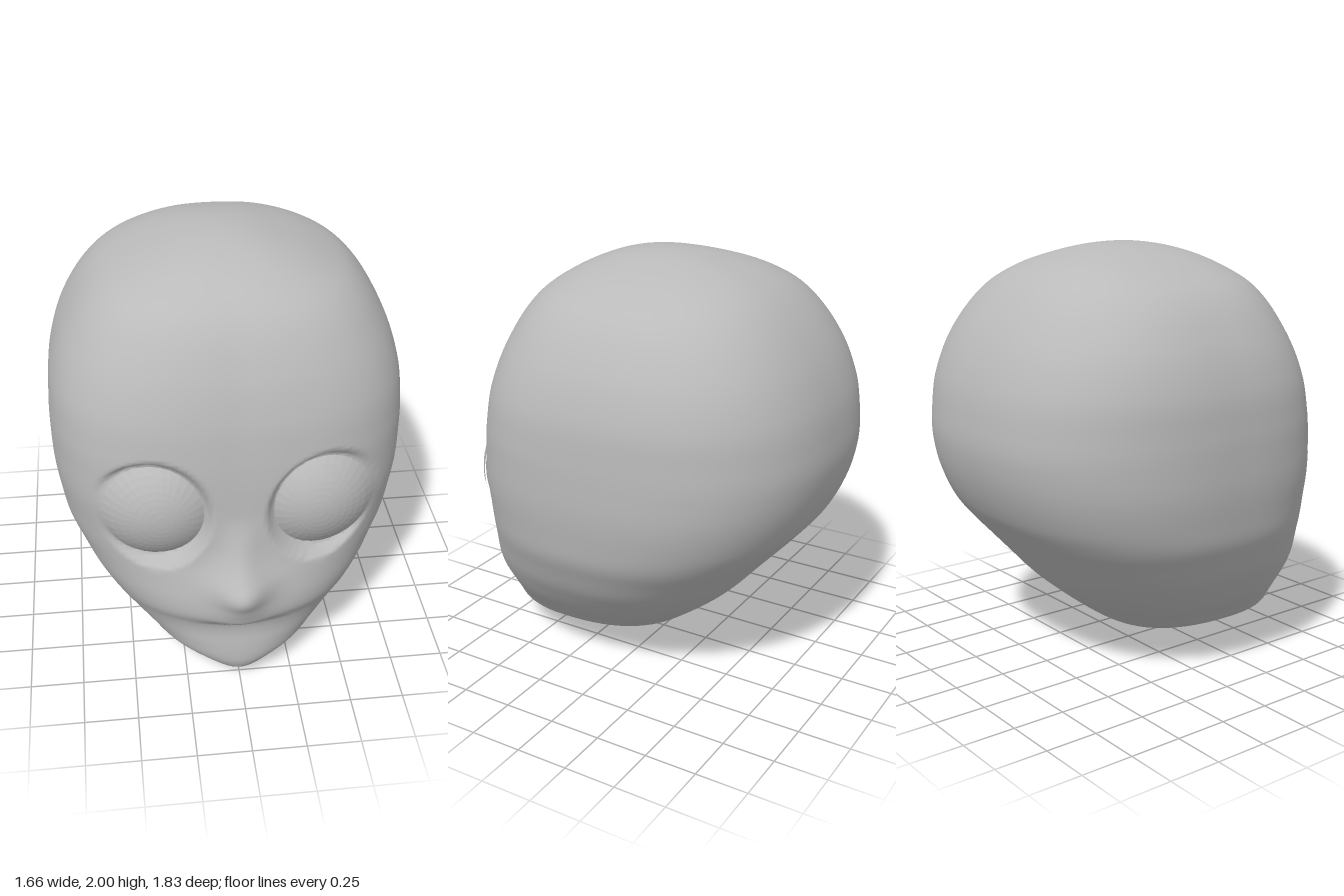
import * as THREE from 'three';

const material = new THREE.MeshStandardMaterial({ color: 0xbababa });
material.name = 'plain grey';

// Head sections: [y, half width, front z, back z, z of widest point, front squareness]
const SECTIONS = [
  [0, 0, 0.56, 0.48, 0.52, 2], [0.02, 0.08, 0.71, 0.27, 0.48, 2], [0.05, 0.17, 0.78, 0.12, 0.44, 2],
  [0.1, 0.29, 0.81, -0.04, 0.4, 2], [0.15, 0.39, 0.815, -0.15, 0.36, 2.05], [0.22, 0.46, 0.81, -0.25, 0.32, 2.1],
  [0.3, 0.54, 0.8, -0.35, 0.27, 2.15], [0.36, 0.59, 0.805, -0.42, 0.24, 2.2], [0.42, 0.635, 0.83, -0.48, 0.2, 2.2],
  [0.5, 0.69, 0.825, -0.55, 0.15, 2.25], [0.6, 0.74, 0.8, -0.64, 0.1, 2.35], [0.7, 0.785, 0.772, -0.73, 0.05, 2.5],
  [0.8, 0.805, 0.758, -0.81, 0.02, 2.65], [0.95, 0.825, 0.75, -0.88, 0, 2.8], [1.1, 0.83, 0.742, -0.915, 0, 2.8],
  [1.22, 0.828, 0.73, -0.915, 0, 2.8], [1.4, 0.81, 0.7, -0.885, -0.03, 2.8], [1.6, 0.74, 0.635, -0.8, -0.05, 2.7],
  [1.8, 0.595, 0.515, -0.645, -0.05, 2.6], [1.9, 0.42, 0.38, -0.5, -0.05, 2.5], [1.96, 0.25, 0.24, -0.33, -0.04, 2.4],
  [2, 0, -0.04, -0.04, -0.04, 2.3],
];
// Nose ridge height above the face: [y, height]
const NOSE = [[0, 0], [0.37, 0], [0.395, 0.03], [0.43, 0.035], [0.5, 0.065], [0.55, 0.1], [0.59, 0.108],
  [0.65, 0.08], [0.7, 0.06], [0.8, 0.03], [0.95, 0], [2, 0]];

const angleOf = (y) => Math.acos(THREE.MathUtils.clamp(1 - y, -1, 1));

// Smooth interpolation of column k of a table, measured along the polar angle
function sample(table, y, k) {
  let i = 0;
  while (i < table.length - 2 && y > table[i + 1][0]) i++;
  const t = (n) => angleOf(table[n][0]), v = (n) => table[n][k];
  const slope = (n) => {
    const a = Math.max(n - 1, 0), b = Math.min(n + 1, table.length - 1);
    return (v(b) - v(a)) / (t(b) - t(a));
  };
  const d = t(i + 1) - t(i), s = (angleOf(y) - t(i)) / d, s2 = s * s, s3 = s2 * s;
  return (2 * s3 - 3 * s2 + 1) * v(i) + (s3 - 2 * s2 + s) * d * slope(i)
    + (3 * s2 - 2 * s3) * v(i + 1) + (s3 - s2) * d * slope(i + 1);
}

// Each eye is part of a ball, seen through an oval opening
const EYE = { x: 0.385, y: 0.945, rx: 0.228, ry: 0.24, ballX: 0.34, ballZ: 0.4, radius: 0.355 };
const ballZ = (x, y) => EYE.ballZ
  + Math.sqrt(Math.max(EYE.radius ** 2 - (x - EYE.ballX) ** 2 - (y - EYE.y) ** 2, 0));

// Adds nose and eye sockets to a point on the front of the head
function addFeatures(x, y, z) {
  const ax = Math.abs(x);
  const width = THREE.MathUtils.lerp(0.085, 0.06, THREE.MathUtils.smoothstep(y, 0.6, 0.8));
  z += sample(NOSE, y, 1) * Math.exp(-((ax / width) ** 2) / 2);
  const r = Math.hypot((ax - EYE.x) / EYE.rx, (y - EYE.y) / EYE.ry);
  const socket = 1 - THREE.MathUtils.smoothstep(r, 0.98, 1.17);
  return socket > 0 ? THREE.MathUtils.lerp(z, ballZ(ax, y) - 0.015, socket) : z;
}

function faceZ(x, y) {
  const [w, f, , c, n] = [1, 2, 3, 4, 5].map((k) => sample(SECTIONS, y, k));
  return addFeatures(x, y, c + (f - c) * (1 - (Math.abs(x) / w) ** n) ** (1 / n));
}

// Surface from a grid of points; wrap closes each row into a ring
function gridGeometry(rows, cols, point, wrap) {
  const positions = [], index = [], stride = wrap ? cols : cols + 1;
  for (let i = 0; i <= rows; i++) {
    for (let j = 0; j < stride; j++) positions.push(...point(i / rows, j / cols));
  }
  for (let i = 0; i < rows; i++) {
    for (let j = 0; j < cols; j++) {
      const k = (j + 1) % stride;
      const a = i * stride + j, b = i * stride + k, c = a + stride, d = b + stride;
      index.push(a, b, d, a, d, c);
    }
  }
  const g = new THREE.BufferGeometry();
  g.setAttribute('position', new THREE.Float32BufferAttribute(positions, 3));
  g.setIndex(index);
  g.computeVertexNormals();
  return g;
}

function headPoint(u, t) {
  const y = 1 - Math.cos(Math.PI * THREE.MathUtils.clamp(u, 0.004, 0.996));
  const [w, f, b, c, nf] = [1, 2, 3, 4, 5].map((k) => sample(SECTIONS, y, k));
  // columns are closer together on the face
  const a = 2 * Math.PI * t - 0.5 * Math.sin(2 * Math.PI * t);
  const s = Math.sin(a), k = Math.cos(a), n = k > 0 ? nf : 2.5;
  const r = (Math.abs(s) ** n + Math.abs(k) ** n) ** (-1 / n);
  const x = w * r * s, z = c + (k > 0 ? f - c : c - b) * r * k;
  return [x, y, k > 0 ? addFeatures(x, y, z) : z];
}

// Faceted eye: rings spreading from the front of the ball to the oval outline
function eyeGeometry(side) {
  const g = gridGeometry(8, 32, (u, t) => {
    const a = -side * t * 2 * Math.PI, k = 1 - u;
    const x = EYE.ballX + k * (EYE.x + EYE.rx * Math.cos(a) - EYE.ballX);
    const y = EYE.y + k * EYE.ry * Math.sin(a);
    return [side * x, y, ballZ(x, y)];
  }, true);
  // orient outwards: rings run from the rim to the middle
  const idx = g.index.array;
  const p = g.attributes.position;
  const [A, B, C] = [0, 1, 2].map((i) => new THREE.Vector3().fromBufferAttribute(p, idx[i]));
  if (B.sub(A).cross(C.sub(A)).z < 0) {
    for (let i = 0; i < idx.length; i += 3) [idx[i + 1], idx[i + 2]] = [idx[i + 2], idx[i + 1]];
  }
  const flat = g.toNonIndexed();
  flat.computeVertexNormals();
  return flat;
}

// Mouth plate following the face, with a small dip in the upper edge
function mouthPoint(v, u) {
  const s = 2 * u - 1, x = 0.25 * s;
  const top = 0.365 + 0.037 * (1 - s ** 4) - 0.01 * Math.exp(-((x / 0.035) ** 2));
  const bottom = 0.365 - 0.125 * Math.max(1 - s * s, 0) ** 0.7;
  const y = THREE.MathUtils.lerp(bottom, top, v);
  return [x, y, faceZ(x, y) + 0.006];
}

export function createModel() {
  const model = new THREE.Group();
  model.name = 'headModel';
  const add = (name, geometry) => {
    const mesh = new THREE.Mesh(geometry, material);
    mesh.name = name;
    model.add(mesh);
  };
  // closing caps at crown and chin are the collapsed end rings
  const head = gridGeometry(150, 160, (u, t) => {
    if (u === 0) return [0, 0, 0.52];
    if (u === 1) return [0, 2, -0.04];
    return headPoint(u, t);
  }, true);
  add('head', head);
  add('leftEye', eyeGeometry(1));
  add('rightEye', eyeGeometry(-1));
  add('mouth', gridGeometry(14, 40, mouthPoint, false));
  return model;
}
